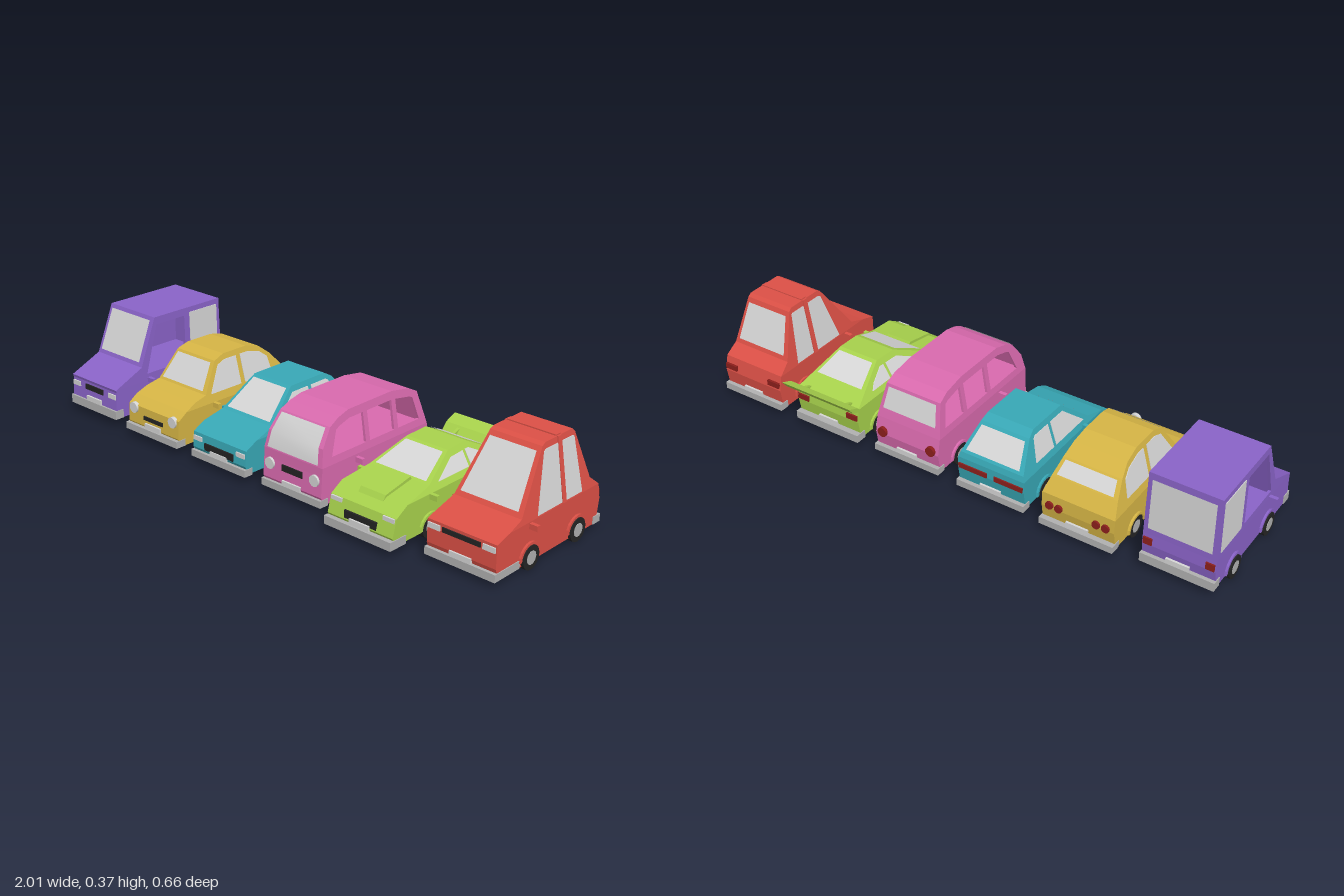
import * as THREE from 'three';

const mat = (name, color, side = THREE.FrontSide) => {
  const m = new THREE.MeshStandardMaterial({ color, side });
  m.name = name;
  return m;
};
const lerp = THREE.MathUtils.lerp;

// One car: lower body, tapered cabin, glass, lamps, bumpers and wheels.
// Profile points are [z, y], from the front over the roof to the back.
function buildCar(root, M, c) {
  const { cabin, w, roofW, front, back, nose } = c;
  const { lean = 0.005, floor = 0.03, frontBumper = 0.03, overhang = 0.007, wheels = [0.093, -0.15] } = c;
  const paint = M[c.paint];
  const belt = cabin[0][1];
  const top = Math.max(...cabin.map((p) => p[1]));
  const half = (y) => (y <= belt ? w : lerp(w, roofW, (y - belt) / (top - belt)));
  const car = new THREE.Group();
  car.name = c.name;
  car.position.x = c.x;
  root.add(car);

  const add = (name, geo, material, x = 0, y = 0, z = 0) => {
    const m = new THREE.Mesh(geo, material);
    m.name = name;
    m.position.set(x, y, z);
    car.add(m);
  };
  const box = (name, material, bw, bh, bd, x, y, z) => add(name, new THREE.BoxGeometry(bw, bh, bd), material, x, y, z);

  // A side profile stretched across the car from x0 to x1, as fractions of the half width
  const slab = (name, pts, material, x0, x1, holes = [], hw = half) => {
    const vec = (list) => list.map((p) => new THREE.Vector2(...p));
    const shape = new THREE.Shape(vec(pts));
    shape.holes = holes.map((h) => new THREE.Path(vec(h)));
    const g = new THREE.ExtrudeGeometry(shape, { depth: x1 - x0, bevelEnabled: false });
    g.translate(0, 0, -x1).rotateY(-Math.PI / 2);
    const p = g.attributes.position;
    for (let i = 0; i < p.count; i++) p.setX(i, p.getX(i) * hw(p.getY(i)));
    g.computeVertexNormals();
    add(name, g, material);
  };
  const slabs = (name, pts, material, x0, x1, holes, hw) => {
    slab(name + 'Left', pts, material, x0, x1, holes, hw);
    slab(name + 'Right', pts, material, -x1, -x0, holes, hw);
  };

  // Height of the roof line, and an opening that follows it at a margin
  const roofAt = (z) => {
    const i = cabin.findIndex((p) => p[0] <= z);
    const [a, b] = [cabin[i - 1], cabin[i]];
    return lerp(a[1], b[1], (a[0] - z) / (a[0] - b[0]));
  };
  const opening = ([frontSill, frontTop, backTop, backSill], sill, margin) => {
    const between = cabin.map((p) => p[0]).filter((z) => z < frontTop - 0.002 && z > backTop + 0.002);
    const tops = [frontTop, ...between, backTop].map((z) => [z, roofAt(z) - margin]);
    return [[frontSill, sill], ...tops, [backSill, sill]];
  };

  // Pane across the car that covers the cabin profile from point i to point j
  const pane = (name, [i, j], inset, out, material, k) => {
    const pts = cabin.slice(i, j + 1).map((p) => [...p]);
    const mix = (a, b) => a.map((v, n) => lerp(v, b[n], inset));
    const ends = [mix(pts[0], pts[1]), mix(pts.at(-1), pts.at(-2))];
    pts[0] = ends[0];
    pts[pts.length - 1] = ends[1];
    const pos = [], idx = [];
    pts.forEach(([z, y], n) => {
      const h = half(y) * k;
      pos.push(-h, y + 0.002, z + out, h, y + 0.002, z + out);
      const a = 2 * n;
      if (n) idx.push(a - 2, a - 1, a, a - 1, a + 1, a);
    });
    const g = new THREE.BufferGeometry();
    g.setAttribute('position', new THREE.Float32BufferAttribute(pos, 3));
    g.setIndex(out < 0 ? idx : idx.map((v, n) => idx[n - (n % 3) + 2 - (n % 3)])); 
    g.computeVertexNormals();
    add(name, g, material);
  };

  // Body and cabin, hollow where the side windows are open
  slab('lowerBody', [[front - 0.014, floor], [front, 0.06], [front - lean, nose], cabin[0], cabin.at(-1),
    [back, 0.1], [back + 0.012, floor]], paint, -1, 1);
  const { hollow, open = [], glazed = [], sill } = c;
  if (hollow) {
    slab('cabinShell', cabin, paint, -0.92, 0.92, [opening(hollow, belt + 0.01, 0.014)]);
    slabs('cabinSide', cabin, paint, 0.92, 1, open.map((o) => opening(o, sill, 0.028)));
  } else slab('cabin', cabin, paint, -1, 1);
  for (const o of glazed) slabs('sideWindow', opening(o, sill, 0.02), M.glass, 0.99, 1.02);
  pane('windscreen', c.screen, 0.08, 0.004, M.glass, 0.87);
  pane('rearWindow', c.rear, 0.1, -0.004, M.glass, 0.87);
  if (c.softTop) pane('softTop', c.softTop, 0, 0.001, M.black, 0.97);

  // Bumpers and number plates
  const [b0, b1] = c.bumper;
  for (const [end, s, z, d] of [['front', 1, front, frontBumper], ['rear', -1, back, 0.03]]) {
    box(end + 'Bumper', M.chrome, w * 2 + 0.006, b1 - b0, d + overhang, 0, (b0 + b1) / 2, z + (s * (overhang - d)) / 2);
    box(end + 'Plate', M.glass, 0.08, 0.02, 0.008, 0, b1 + 0.008, z + s * 0.002);
  }

  // Grille, then lamps: round when they have a radius r, else flat boxes
  const faceZ = (y) => front - (lean * (y - 0.06)) / (nose - 0.06);
  const [gw, gh, gy] = c.grille;
  box('grille', M.black, gw, gh, 0.008, 0, gy, faceZ(gy));
  const lamp = (name, o, material, s, z) => {
    if (!o.r) return box(name, material, o.w, o.h, 0.009, s * (w - o.w / 2 - 0.004), o.y, z);
    for (let n = 0; n < (o.count || 1); n++) {
      const g = new THREE.CylinderGeometry(o.r, o.r, 0.014, 16).rotateX(Math.PI / 2);
      add(name, g, material, s * (w - 0.03 - n * 0.034), o.y, z);
    }
  };
  for (const s of [-1, 1]) {
    lamp('headlamp', c.lamps, M.glass, s, faceZ(c.lamps.y));
    lamp('tailLamp', c.tails, M.tail, s, back);
    box('mirror', paint, 0.03, 0.018, 0.014, s * (w + 0.014), 0.142, wheels[0]);
    for (const z of wheels) {
      add('tyre', new THREE.CylinderGeometry(0.04, 0.04, 0.044, 20).rotateZ(Math.PI / 2), M.black, s * 0.115, 0.04, z);
      add('hub', new THREE.CylinderGeometry(0.023, 0.023, 0.046, 10).rotateZ(Math.PI / 2), M.chrome, s * 0.1155, 0.04, z);
    }
  }

  // Wheel arches
  for (const z of wheels) {
    const arc = (r) => Array.from({ length: 11 }, (_, i) => {
      const a = (i * Math.PI) / 10;
      return [z + r * Math.cos(a), 0.038 + r * Math.sin(a)];
    });
    slabs('wheelArch', [...arc(0.052), ...arc(0.043).reverse()], paint, 0.9, 1.06, [], () => w);
  }
  return { slab, slabs, box, paint };
}

export function createModel() {
  const M = {
    purple: mat('purple paint', 0x8a63c8), yellow: mat('yellow paint', 0xd6b545),
    teal: mat('teal paint', 0x38a8b6), pink: mat('pink paint', 0xd96aae),
    lime: mat('lime paint', 0xa8d24c), red: mat('red paint', 0xdc5046),
    glass: mat('pale glass', 0xd6d6d6, THREE.DoubleSide), chrome: mat('grey bumper', 0xb0b0b0),
    black: mat('black rubber', 0x242424), tail: mat('dark red lamp', 0x8c1f1c),
  };
  const root = new THREE.Group();
  root.name = 'carRow';

  buildCar(root, M, {
    name: 'boxVan', paint: 'purple', x: -0.86, w: 0.125, roofW: 0.122, front: 0.252, back: -0.27, nose: 0.13,
    cabin: [[0.25, 0.14], [0.125, 0.195], [0.053, 0.37], [-0.264, 0.37], [-0.268, 0.14]],
    hollow: [0.105, 0.046, -0.25, -0.25], sill: 0.165,
    open: [[0.1, 0.046, -0.09, -0.09]], glazed: [[-0.115, -0.115, -0.25, -0.25]],
    screen: [1, 2], rear: [3, 4], bumper: [0.03, 0.062], grille: [0.1, 0.02, 0.112],
    lamps: { y: 0.112, w: 0.04, h: 0.018 }, tails: { y: 0.115, w: 0.03, h: 0.025 },
  });

  buildCar(root, M, {
    name: 'bubbleCar', paint: 'yellow', x: -0.515, w: 0.132, roofW: 0.092, front: 0.266, back: -0.287, nose: 0.125,
    cabin: [[0.225, 0.15], [0.18, 0.17], [0.125, 0.182], [0.055, 0.285], [0.01, 0.3], [-0.1, 0.3], [-0.16, 0.285],
      [-0.205, 0.25], [-0.25, 0.2], [-0.285, 0.15]],
    sill: 0.18, glazed: [[0.1, 0.045, -0.045, -0.045], [-0.065, -0.065, -0.19, -0.2]],
    screen: [2, 3], rear: [7, 8], bumper: [0.03, 0.055], overhang: 0.012, grille: [0.1, 0.014, 0.09],
    lamps: { y: 0.115, r: 0.02 }, tails: { y: 0.11, r: 0.014, count: 2 },
  });

  buildCar(root, M, {
    name: 'softTopCoupe', paint: 'teal', x: -0.18, w: 0.128, roofW: 0.087, front: 0.264, back: -0.275, nose: 0.115,
    cabin: [[0.21, 0.14], [0.13, 0.162], [0.005, 0.265], [-0.16, 0.267], [-0.19, 0.25], [-0.268, 0.16], [-0.274, 0.14]],
    sill: 0.165, glazed: [[0.1, 0.005, -0.07, -0.07], [-0.085, -0.085, -0.17, -0.19]],
    screen: [1, 2], rear: [4, 5], softTop: [2, 3], bumper: [0.025, 0.05], grille: [0.14, 0.025, 0.075],
    lamps: { y: 0.095, w: 0.04, h: 0.016 }, tails: { y: 0.11, w: 0.11, h: 0.018 },
  });

  buildCar(root, M, {
    name: 'roundVan', paint: 'pink', x: 0.16, w: 0.129, roofW: 0.104, front: 0.262, back: -0.272, nose: 0.13,
    cabin: [[0.256, 0.16], [0.243, 0.22], [0.2, 0.28], [0.16, 0.3], [0.11, 0.313], [-0.1, 0.314], [-0.185, 0.3],
      [-0.225, 0.28], [-0.253, 0.185], [-0.26, 0.16]],
    hollow: [0.235, 0.2, -0.215, -0.24], sill: 0.185,
    open: [[0.207, 0.175, 0.045, 0.045], [0.025, 0.025, -0.095, -0.095], [-0.115, -0.115, -0.2, -0.222]],
    screen: [0, 2], rear: [7, 8], bumper: [0.027, 0.052], grille: [0.09, 0.022, 0.112],
    lamps: { y: 0.112, r: 0.02 }, tails: { y: 0.11, r: 0.018 },
  });

  const sports = buildCar(root, M, {
    name: 'sportsCar', paint: 'lime', x: 0.5, w: 0.132, roofW: 0.08, front: 0.316, back: -0.27, nose: 0.12, lean: 0.016,
    cabin: [[0.25, 0.15], [0.135, 0.17], [0, 0.234], [-0.09, 0.238], [-0.21, 0.178], [-0.265, 0.15]],
    sill: 0.17, glazed: [[0.09, 0, -0.06, -0.06], [-0.072, -0.072, -0.15, -0.17]], wheels: [0.14, -0.16],
    screen: [1, 2], rear: [3, 4], bumper: [0.024, 0.053], overhang: 0.014, frontBumper: 0.06,
    grille: [0.13, 0.026, 0.077], lamps: { y: 0.112, w: 0.045, h: 0.014 }, tails: { y: 0.115, w: 0.045, h: 0.02 },
  });
  sports.slab('hoodScoop', [[0.27, 0.135], [0.255, 0.157], [0.14, 0.18], [0.13, 0.165]], sports.paint, -1, 1, [], () => 0.05);
  sports.slab('rearWing', [[-0.262, 0.15], [-0.285, 0.176], [-0.33, 0.195], [-0.31, 0.168]], sports.paint, -1, 1, [], () => 0.147);
  sports.slabs('wingStrut', [[-0.235, 0.13], [-0.235, 0.152], [-0.285, 0.172], [-0.255, 0.13]], sports.paint, 0.65, 0.73, [], () => 0.132);

  const hatch = buildCar(root, M, {
    name: 'tallHatchback', paint: 'red', x: 0.84, w: 0.127, roofW: 0.093, front: 0.255, back: -0.275, nose: 0.138, lean: 0.001,
    cabin: [[0.195, 0.155], [0.135, 0.175], [0.01, 0.358], [-0.005, 0.366], [-0.145, 0.366], [-0.157, 0.355],
      [-0.218, 0.19], [-0.263, 0.155]],
    sill: 0.161, glazed: [[0.058, 0.005, -0.065, -0.065], [-0.086, -0.086, -0.15, -0.17]], floor: 0.02,
    screen: [1, 2], rear: [5, 6], bumper: [0.02, 0.046], frontBumper: 0.115, grille: [0.14, 0.016, 0.12],
    lamps: { y: 0.12, w: 0.045, h: 0.018 }, tails: { y: 0.12, w: 0.05, h: 0.02 },
  });
  hatch.slabs('doorPillar', [[-0.065, 0.158], [-0.065, 0.366], [-0.084, 0.366], [-0.084, 0.158]], hatch.paint, 0.98, 1.04);
  hatch.box('roofBand', hatch.paint, 0.18, 0.008, 0.022, 0, 0.366, -0.075);
  return root;
}
